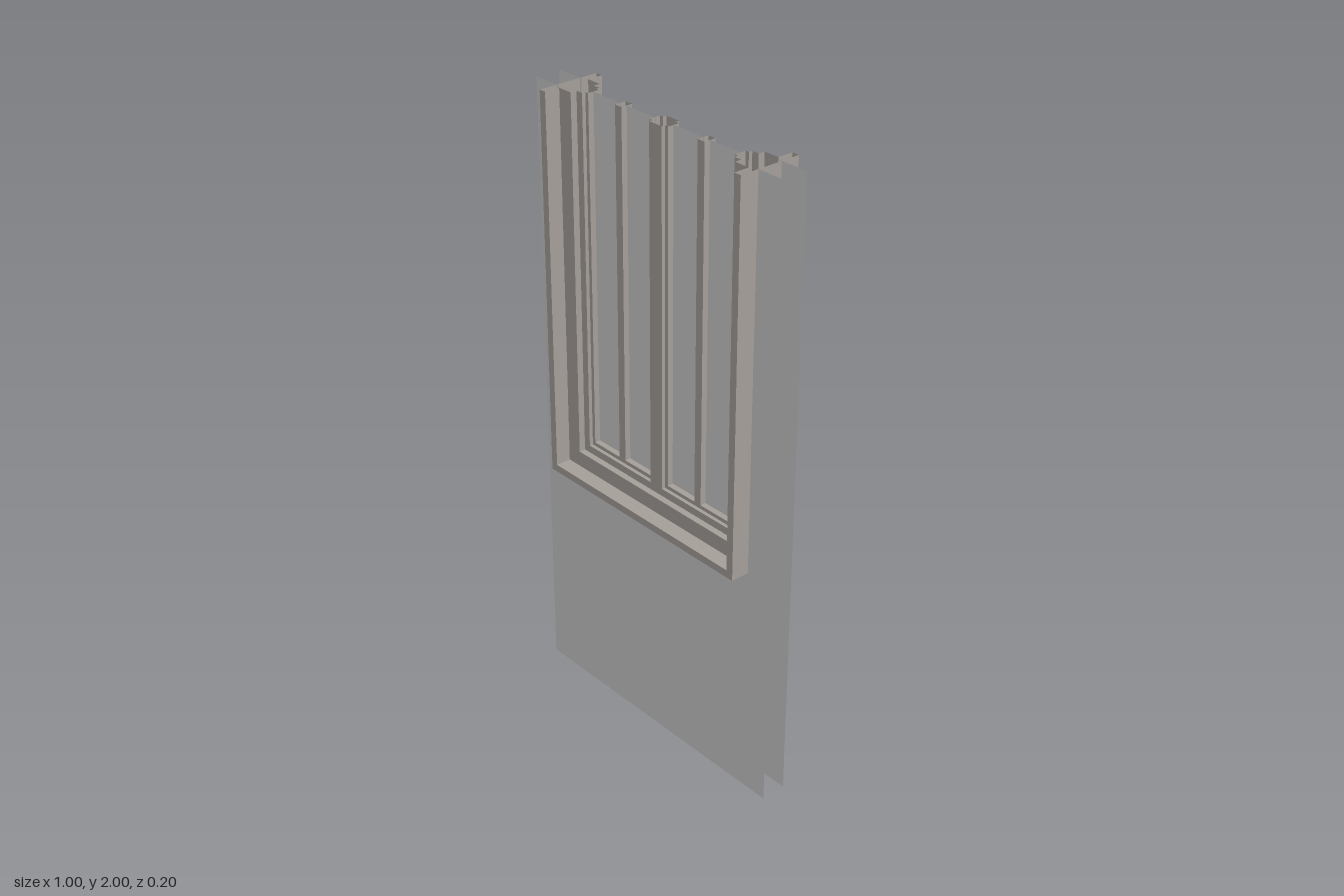
import * as THREE from 'three';

const TOP = 2, HALF = 0.4075, SILL = 0.772;

// Skin between matching closed rings of points, flat shaded, ends left open
function skin(rings) {
  const pos = [];
  for (let i = 0; i < rings.length - 1; i++) {
    const p = rings[i], q = rings[i + 1];
    for (let j = 0; j < p.length; j++) {
      const k = (j + 1) % p.length;
      pos.push(...p[j], ...q[j], ...q[k], ...p[j], ...q[k], ...p[k]);
    }
  }
  const geo = new THREE.BufferGeometry();
  geo.setAttribute('position', new THREE.Float32BufferAttribute(pos, 3));
  geo.computeVertexNormals();
  return geo;
}

// Upright open tube with an (x, z) section
const upright = (section, bottom) =>
  skin([TOP, bottom].map(y => section.map(([x, z]) => [x, y, z])));

export function createModel() {
  const group = new THREE.Group();
  const material = (name, color) => {
    const m = new THREE.MeshStandardMaterial({ color, side: THREE.DoubleSide });
    m.name = name;
    return m;
  };
  const wallGrey = material('wall grey', 0xc8c8c8);
  const frameTaupe = material('frame taupe', 0xa59f99);
  const glassGrey = material('glass grey', 0xc9c9c9);

  const add = (name, geo, mat, x = 0, y = 0, z = 0) => {
    const mesh = new THREE.Mesh(geo, mat);
    mesh.name = name;
    mesh.position.set(x, y, z);
    group.add(mesh);
  };

  // Two wall skins, each with an opening that runs out at the top
  const wall = new THREE.Shape([
    [-0.5, 0], [0.5, 0], [0.5, TOP], [0.4, TOP], [0.4, 0.78],
    [-0.4, 0.78], [-0.4, TOP], [-0.5, TOP],
  ].map(([x, y]) => new THREE.Vector2(x, y)));
  const wallGeo = new THREE.ShapeGeometry(wall);
  add('frontWall', wallGeo, wallGrey, 0, 0, 0.041);
  const backGeo = wallGeo.clone().rotateY(Math.PI);
  add('backWall', backGeo, wallGrey, 0, 0, -0.041);

  // Stepped frame section: inward distance and depth, mirrored front to back
  const steps = [
    [0, 0.102], [0.024, 0.102], [0.024, 0.052], [0.0745, 0.052],
    [0.0745, 0.031], [0.0985, 0.031], [0.0985, 0.019], [0.1105, 0.019],
  ];
  const section = [...steps, ...steps.map(([d, z]) => [d, -z]).reverse()];

  // Frame swept down one jamb, along the sill and up the other jamb, mitred
  add('windowFrame', skin([
    section.map(([d, z]) => [-HALF + d, TOP, z]),
    section.map(([d, z]) => [-HALF + d, SILL + d, z]),
    section.map(([d, z]) => [HALF - d, SILL + d, z]),
    section.map(([d, z]) => [HALF - d, TOP, z]),
  ]), frameTaupe);

  // Central mullion with a glazing bead on each side
  const bead = [[-0.038, 0.019], [-0.0255, 0.019], [-0.0255, 0.031],
    [0.0255, 0.031], [0.0255, 0.019], [0.038, 0.019]];
  add('mullion', upright([...bead, ...bead.map(([x, z]) => [x, -z]).reverse()], 0.86), frameTaupe);

  // Glazing bars and panes in each sash
  const bar = upright([[-0.0135, 0.019], [0.0135, 0.019], [0.0135, -0.019], [-0.0135, -0.019]], 0.87);
  const pane = new THREE.PlaneGeometry(0.12, TOP - 0.88);
  for (const side of [-1, 1]) {
    add('glazingBar', bar, frameTaupe, side * 0.168);
    for (const x of [0.096, 0.239]) add('glassPane', pane, glassGrey, side * x, (TOP + 0.88) / 2, 0);
  }
  return group;
}
